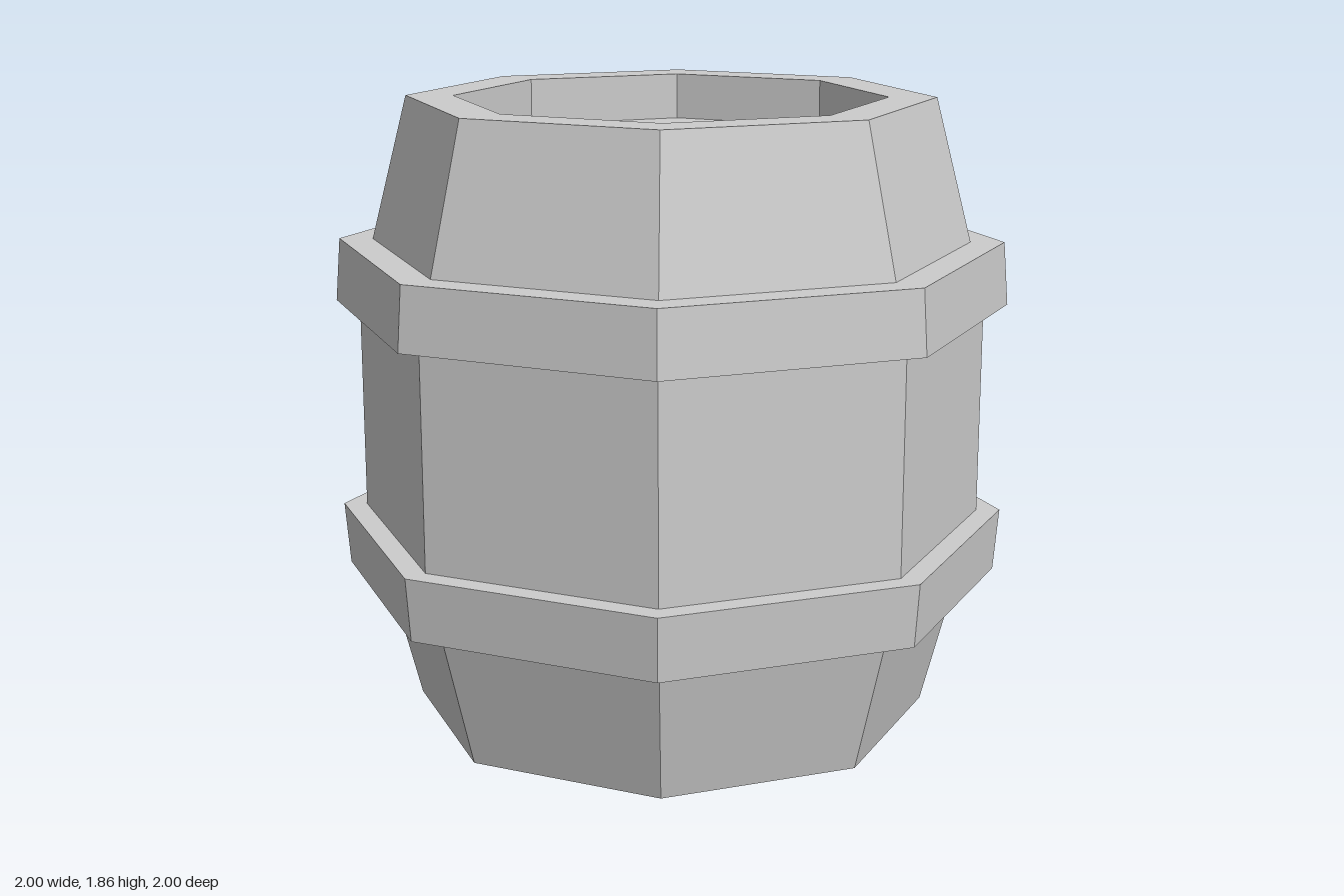
import * as THREE from 'three';

const HEIGHT = 1.86;
const SIDES = 8;

// Faceted solid of revolution; the profile runs from the bottom up on the outside.
function turned(name, profile) {
  const points = profile.map(([r, y]) => new THREE.Vector2(r, y));
  const geometry = new THREE.LatheGeometry(points, SIDES).toNonIndexed();
  geometry.computeVertexNormals();
  const material = new THREE.MeshStandardMaterial({ color: 0xcccccc, flatShading: true });
  const mesh = new THREE.Mesh(geometry, material);
  mesh.name = name;
  return mesh;
}

// Mirror a profile about mid height, keeping the bottom-up order.
const mirrored = (profile) => profile.map(([r, y]) => [r, HEIGHT - y]).reverse();

export function createModel() {
  const barrel = new THREE.Group();
  barrel.name = 'barrel';

  // Staves with a recessed head at both ends
  const lowerHalf = [[0, 0.14], [0.635, 0.14], [0.635, 0], [0.775, 0], [0.885, 0.425], [0.93, 0.61]];
  barrel.add(turned('barrelBody', [...lowerHalf, ...mirrored(lowerHalf)]));

  // Two hoops, each slightly wider towards the middle
  const hoop = [[0.88, 0.425], [0.985, 0.425], [1, 0.612], [0.92, 0.612], [0.88, 0.425]];
  barrel.add(turned('lowerHoop', hoop), turned('upperHoop', mirrored(hoop)));

  return barrel;
}
